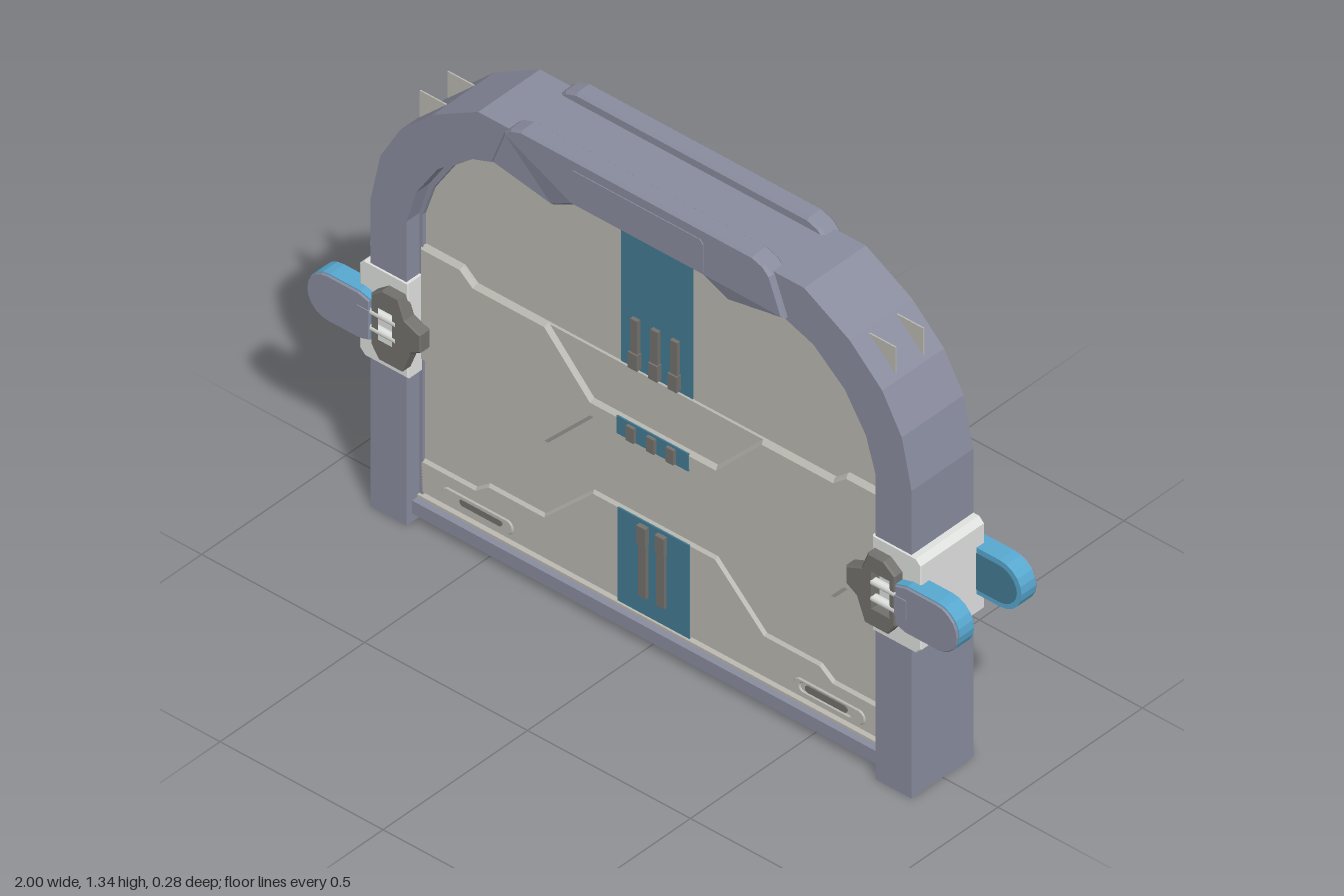
import * as THREE from 'three';

const mat = (name, color) => {
  const m = new THREE.MeshStandardMaterial({ color });
  m.name = name;
  return m;
};

export function createModel() {
  const frame = mat('slate frame', 0x898c9e);
  const stone = mat('warm grey panel', 0xbbb9b2);
  const teal = mat('dark teal stripe', 0x447c94);
  const blue = mat('bright blue', 0x58a8d0);
  const white = mat('pale clamp', 0xe0e2e0);
  const dark = mat('dark grey metal', 0x73716d);

  const model = new THREE.Group();
  model.name = 'archedDoor';

  const toVecs = (pts, s = 1) => pts.map(([x, y]) => new THREE.Vector2(x * s, y));
  const mirrored = (pts) => [...pts, ...pts.map(([x, y]) => [-x, y]).reverse()];

  // Flat outline extruded from z0 to z1, with an optional chamfer inside the outline
  function plate(parent, name, material, pts, z0, z1, { bevel = 0, holes = [], s = 1 } = {}) {
    const shape = new THREE.Shape(toVecs(pts, s));
    holes.forEach((h) => shape.holes.push(new THREE.Path(toVecs(h, s))));
    const geo = new THREE.ExtrudeGeometry(shape, {
      depth: z1 - z0 - 2 * bevel, bevelEnabled: bevel > 0, bevelSize: bevel,
      bevelThickness: bevel, bevelOffset: -bevel, bevelSegments: 1,
    });
    geo.translate(0, 0, z0 + bevel);
    const mesh = new THREE.Mesh(geo, material);
    mesh.name = name;
    parent.add(mesh);
    return mesh;
  }
  function box(parent, name, material, x0, x1, y0, y1, z0, z1) {
    const mesh = new THREE.Mesh(new THREE.BoxGeometry(x1 - x0, y1 - y0, z1 - z0), material);
    mesh.position.set((x0 + x1) / 2, (y0 + y1) / 2, (z0 + z1) / 2);
    mesh.name = name;
    parent.add(mesh);
  }
  const rect = (x0, x1, y0, y1) => [[x0, y0], [x1, y0], [x1, y1], [x0, y1]];
  const pill = (cx, cy, w, h) => {
    const pts = [], r = h / 2, d = w / 2 - r;
    for (let i = 0; i < 16; i++) {
      const a = -Math.PI / 2 + (i + 0.5) * Math.PI / 8;
      pts.push([cx + (i < 8 ? d : -d) + r * Math.cos(a), cy + r * Math.sin(a)]);
    }
    return pts;
  };

  // Arched frame, open at the bottom
  const outer = [[0.83, 0], [0.83, 0.89], [0.80, 1.03], [0.74, 1.135], [0.64, 1.23], [0.5, 1.31]];
  const inner = [[0.72, 0], [0.72, 0.88], [0.69, 0.98], [0.625, 1.08], [0.53, 1.16], [0.42, 1.2]];
  plate(model, 'archFrame', frame, [...mirrored(outer), ...mirrored(inner).reverse()], -0.107, 0.107);
  // Narrow step inside the arch
  const offset = (d) => inner.map(([x, y], i) => [x + d, i > 1 ? y + d : y + (i ? 0 : 0.03)]);
  plate(model, 'innerStep', frame, [...mirrored(offset(0.01)), ...mirrored(offset(-0.01)).reverse()], -0.062, 0.062);
  box(model, 'sill', frame, -0.725, 0.725, 0.025, 0.062, -0.088, 0.088);
  box(model, 'sillTread', stone, -0.72, 0.72, 0.06, 0.07, -0.07, 0.07);

  // Outlines for the door
  const middle = mirrored([[0.72, 0.07], [0.72, 0.79], [0.59, 0.79], [0.55, 0.757]]);
  const hump = mirrored([[0.72, 0.07], [0.72, 0.17], [0.55, 0.17], [0.51, 0.2], [0.34, 0.2], [0.19, 0.345]]);
  const band = mirrored([[0.19, 0.555], [0.33, 0.41], [0.55, 0.41], [0.59, 0.455], [0.72, 0.455],
    [0.72, 0.79], [0.59, 0.79], [0.55, 0.757], [0.33, 0.757], [0.19, 0.61]]);
  const latch = [[0.805, 0.5], [0.805, 0.645], [0.77, 0.672], [0.72, 0.672], [0.70, 0.62],
    [0.652, 0.6], [0.652, 0.55], [0.685, 0.53], [0.71, 0.465], [0.78, 0.465]];
  const cap = mirrored([[0.2, 1.2], [0.27, 1.157], [0.45, 1.2], [0.41, 1.305], [0.39, 1.325], [0.355, 1.337]]);
  // Handle outline, shrunk by m
  const handle = (m) => {
    const pts = [[0.805 + m, 0.51 + m], [0.84, 0.5 + m]];
    for (let i = 0; i <= 10; i++) {
      const a = -Math.PI / 2 + (i / 10) * Math.PI;
      pts.push([0.933 + (0.067 - m) * Math.cos(a), 0.567 + (0.067 - m) * Math.sin(a)]);
    }
    return [...pts, [0.84, 0.634 - m], [0.805 + m, 0.624 - m]];
  };

  // Everything on one face of the door
  function buildSide() {
    const g = new THREE.Group();

    // Door sheet whose upper corners pass through the arch
    box(g, 'doorSheet', stone, -0.73, 0.73, 0.06, 1.222, 0.046, 0.05);
    plate(g, 'middlePanel', stone, middle, 0.04, 0.054, { bevel: 0.004 });
    plate(g, 'raisedBand', stone, band, 0.044, 0.066, { bevel: 0.009 });
    plate(g, 'lowerPanel', stone, hump, 0.044, 0.062, { bevel: 0.007 });

    // Teal stripe: top, slot and bottom
    [[0.757, 1.2, 0.052], [0.557, 0.608, 0.068], [0.07, 0.34, 0.064]].forEach(([a, b, z]) =>
      box(g, 'tealStripe', teal, -0.11, 0.11, a, b, z - 0.004, z));

    // Raised bars over the stripe
    [-0.062, 0, 0.06].forEach((x) => {
      box(g, 'upperBar', dark, x - 0.011, x + 0.011, 0.765, 0.905, 0.05, 0.063);
      box(g, 'upperBarFoot', dark, x - 0.014, x + 0.014, 0.765, 0.81, 0.05, 0.068);
      box(g, 'slotBar', dark, x - 0.012, x + 0.012, 0.56, 0.602, 0.065, 0.077);
    });
    [-0.028, 0.028].forEach((x) => {
      box(g, 'lowerBar', dark, x - 0.012, x + 0.012, 0.125, 0.33, 0.06, 0.073);
      box(g, 'lowerBarHead', dark, x - 0.014, x + 0.014, 0.28, 0.33, 0.06, 0.077);
    });

    // Top cap, its lower points leaning back to the frame, with a shallow inset plate
    const capGeo = plate(g, 'topCap', frame, cap, 0.068, 0.122, { bevel: 0.007 }).geometry;
    const p = capGeo.attributes.position;
    for (let i = 0; i < p.count; i++) {
      if (p.getZ(i) > 0.1 && p.getY(i) < 1.195) p.setZ(i, p.getZ(i) - (1.195 - p.getY(i)) * 0.3);
    }
    capGeo.computeVertexNormals();
    plate(g, 'topCapInset', frame, mirrored([[0.205, 1.215], [0.205, 1.295], [0.195, 1.305]]), 0.118, 0.1235, { bevel: 0.001 });

    [1, -1].forEach((s) => {
      // Vent near the floor
      plate(g, 'ventRim', stone, pill(0.54, 0.11, 0.22, 0.042), 0.058, 0.066,
        { bevel: 0.003, holes: [pill(0.53, 0.11, 0.16, 0.024)], s });
      plate(g, 'ventSlot', dark, pill(0.53, 0.11, 0.13, 0.02), 0.058, 0.065, { s });

      // Latch with window and rods
      plate(g, 'latch', dark, latch, 0.1, 0.136,
        { bevel: 0.004, holes: [rect(0.735, 0.785, 0.52, 0.62)], s });
      [0.545, 0.592].forEach((y) => {
        const rod = new THREE.Mesh(new THREE.CylinderGeometry(0.011, 0.011, 0.09, 10), white);
        rod.rotation.z = Math.PI / 2;
        rod.position.set(s * 0.775, y, 0.127);
        rod.name = 'latchRod';
        g.add(rod);
      });

      // Handle: blue body with a slate front and a teal inner face
      plate(g, 'handle', blue, handle(0), 0.082, 0.132, { s });
      plate(g, 'handleFace', frame, handle(0.001), 0.131, 0.139, { bevel: 0.003, s });
      plate(g, 'handleInnerFace', teal, handle(0.014), 0.08, 0.084, { s });
      box(g, 'handleBlock', frame, s * 0.825 - 0.018, s * 0.825 + 0.018, 0.54, 0.597, 0.09, 0.142);
    });
    return g;
  }
  const front = buildSide();
  front.name = 'frontSide';
  const back = buildSide();
  back.name = 'backSide';
  back.rotation.y = Math.PI;
  model.add(front, back);

  // Pale brackets wrapped around the posts
  [1, -1].forEach((s) =>
    plate(model, 'postBracket', white, [[0.712, 0.43], [0.845, 0.43], [0.862, 0.447], [0.862, 0.69],
      [0.847, 0.705], [0.712, 0.705]], -0.11, 0.11, { bevel: 0.003, s }));

  return model;
}
